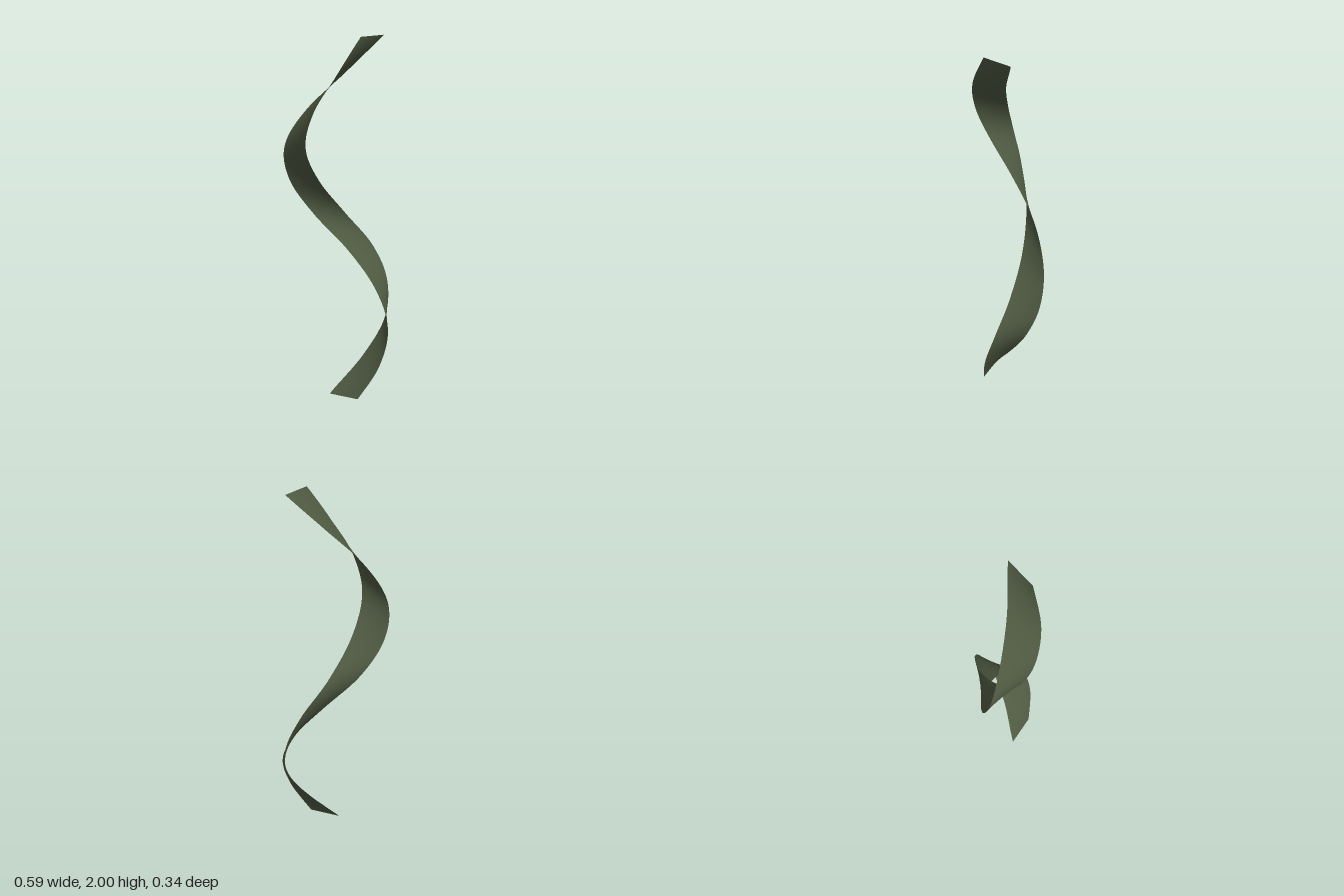
import * as THREE from 'three';

// Centre line of the ribbon as [x, z], one pair for every 0.2 of height
const CENTRE = [
  [0.015, 0.0975], [0.17, 0.079], [0.262, 0.022], [0.243, -0.06], [0.132, -0.122],
  [-0.042, -0.136], [-0.184, -0.085], [-0.238, -0.01], [-0.163, 0.055],
  [-0.002, 0.092], [0.1675, 0.0775],
];
const WIDTH = 0.178;

// Heading of the level cross-section at height y: a steady twist
const twist = (y) => THREE.MathUtils.degToRad(35 + 142.5 * y);

export function createModel() {
  const group = new THREE.Group();
  group.name = 'twistedRibbon';

  const path = new THREE.CatmullRomCurve3(
    CENTRE.map(([x, z], i) => new THREE.Vector3(x, i * 0.2, z)), false, 'catmullrom', 0.5);

  // A flat strip bent along the path and turned by the twist
  const strip = new THREE.PlaneGeometry(WIDTH, 1, 6, 160);
  const pos = strip.attributes.position;
  const p = new THREE.Vector3();
  for (let i = 0; i < pos.count; i++) {
    const across = pos.getX(i);
    path.getPoint(THREE.MathUtils.clamp(pos.getY(i) + 0.5, 0, 1), p);
    const a = twist(p.y);
    pos.setXYZ(i, p.x + across * Math.cos(a), p.y, p.z + across * Math.sin(a));
  }
  strip.computeVertexNormals();

  const ribbon = new THREE.Mesh(strip,
    new THREE.MeshStandardMaterial({ color: 0x4f5a42, side: THREE.DoubleSide }));
  ribbon.name = 'ribbon';
  group.add(ribbon);
  return group;
}
